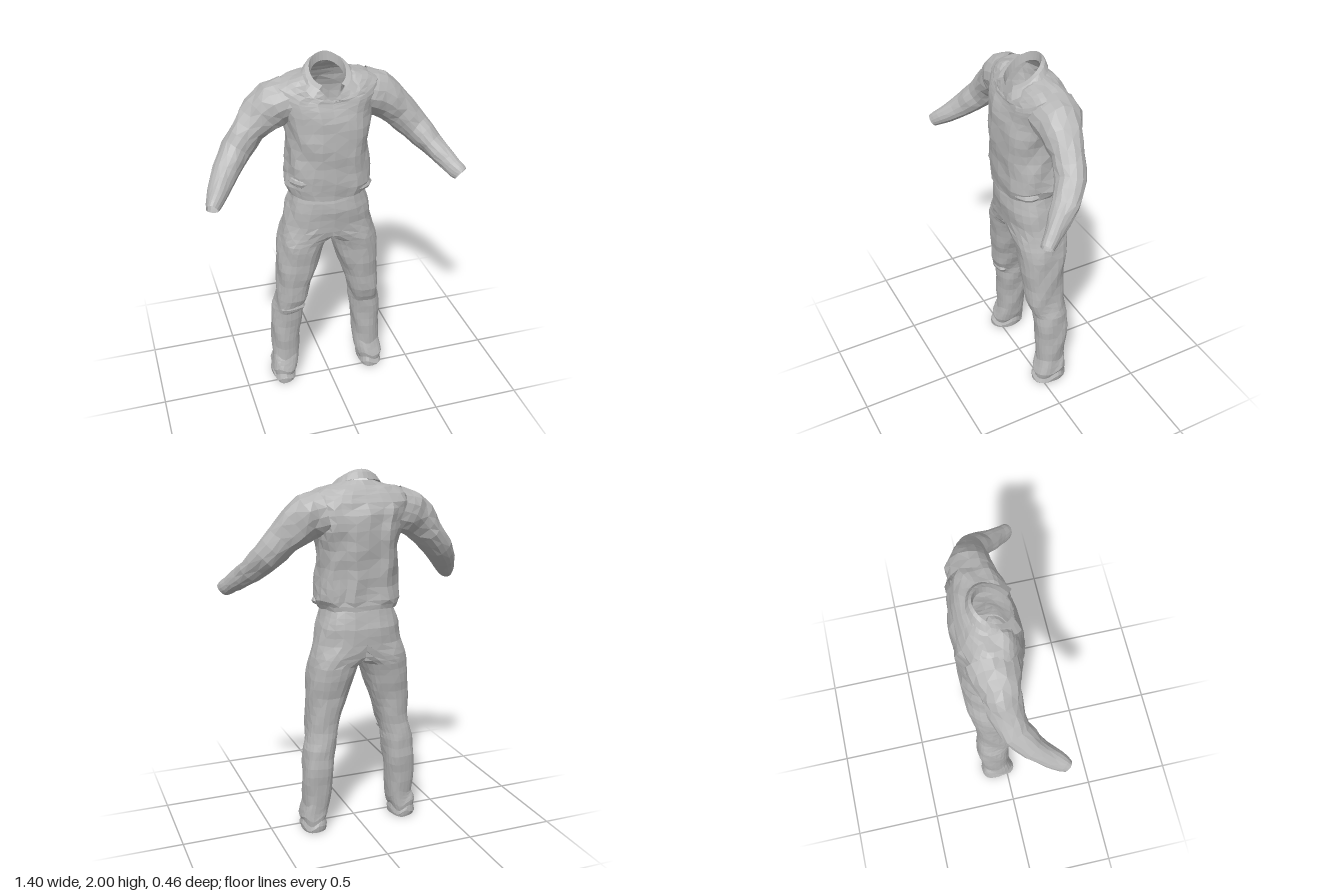
import * as THREE from 'three';

const fabric = new THREE.MeshStandardMaterial({ color: 0xb6b6b6, flatShading: true, side: THREE.DoubleSide });
fabric.name = 'grey fabric';

// Insert evenly blended rows between the given ones
function refine(rows, n) {
  const out = [];
  for (let i = 0; i < rows.length - 1; i++)
    for (let k = 0; k < n; k++) out.push(rows[i].map((v, c) => v + (rows[i + 1][c] - v) * k / n));
  out.push(rows[rows.length - 1]);
  return out;
}

// Skin a list of point rings; closed joins the last point of each ring to the first
function loft(rings, closed = true) {
  const n = rings[0].length, pos = [], idx = [];
  rings.forEach(r => r.forEach(p => pos.push(p.x, p.y, p.z)));
  for (let i = 0; i < rings.length - 1; i++)
    for (let j = 0; j < (closed ? n : n - 1); j++) {
      const a = i * n + j, b = i * n + (j + 1) % n, c = a + n, d = b + n;
      const tris = (i + j) % 2 ? [[a, b, d], [a, d, c]] : [[a, b, c], [b, d, c]];
      // Leave out the hidden wall where two mirrored halves meet
      tris.forEach(t => { if (t.some(k => pos[k * 3] !== 0)) idx.push(...t); });
    }
  const g = new THREE.BufferGeometry();
  g.setAttribute('position', new THREE.Float32BufferAttribute(pos, 3));
  g.setIndex(idx);
  return g;
}

function mirrorX(g) {
  const m = g.clone().scale(-1, 1, 1), ix = m.index.array;
  for (let i = 0; i < ix.length; i += 3) [ix[i], ix[i + 1]] = [ix[i + 1], ix[i]];
  return m;
}

// Cloth creases, with pleats down the back of the shirt and slouching trouser cuffs
function wrinkle(g, amp) {
  const p = g.attributes.position;
  for (let i = 0; i < p.count; i++) {
    const x = p.getX(i), y = p.getY(i), z = p.getZ(i);
    let dz = amp * Math.sin(x * 37 + y * 17) * Math.cos(y * 21 - x * 23);
    let dy = amp * 0.6 * Math.sin(x * 33 + z * 47);
    if (z < -0.12 && y > 1.32 && y < 1.84) dz += 0.008 * Math.sin(x * 42 + y * 2);
    if (y > 0.03 && y < 0.2) dy += 0.014 * Math.sin(x * 48 + z * 38 + y * 30);
    p.setXYZ(i, x + amp * Math.sin(y * 25 + z * 37 + x * 13), y + dy, z + dz);
  }
  g.computeVertexNormals();
  return g;
}

const power = (v, e) => Math.sign(v) * Math.abs(v) ** e;

// Horizontal rounded ring from its side and depth limits; dip lowers its front
function ring(y, x0, x1, zf, zb, dip, n, e) {
  return Array.from({ length: n }, (_, j) => {
    const a = j / n * Math.PI * 2, c = Math.cos(a);
    return new THREE.Vector3(
      (x0 + x1) / 2 + (x1 - x0) / 2 * power(Math.sin(a), e),
      y - dip * Math.max(0, c) ** 2,
      (zf + zb) / 2 + (zf - zb) / 2 * power(c, e));
  });
}

export function createModel() {
  const group = new THREE.Group();
  const add = (name, geometry) => {
    const m = new THREE.Mesh(geometry, fabric);
    m.name = name;
    group.add(m);
  };

  // Shirt body: height, half width, front, back, front dip
  const body = refine([
    [1.285, 0.195, 0.1, -0.185, 0.025], [1.28, 0.212, 0.118, -0.205, 0.02],
    [1.33, 0.234, 0.122, -0.21, 0.01], [1.4, 0.226, 0.124, -0.208, 0],
    [1.5, 0.215, 0.128, -0.212, 0], [1.6, 0.216, 0.13, -0.22, 0],
    [1.7, 0.235, 0.119, -0.229, 0], [1.78, 0.255, 0.105, -0.22, 0.02],
    [1.84, 0.272, 0.096, -0.2, 0.055], [1.88, 0.262, 0.092, -0.18, 0.085],
    [1.908, 0.21, 0.09, -0.158, 0.103], [1.924, 0.14, 0.087, -0.135, 0.113],
  ], 2).map(([y, w, f, b, d]) => ring(y, -w, w, f, b, d, 30, 0.75));
  // Neckline with a notch at the front
  body.push(Array.from({ length: 30 }, (_, j) => {
    const a = j / 30 * Math.PI * 2, c = Math.cos(a), near = Math.min(a, Math.PI * 2 - a);
    const notch = 0.035 * Math.exp(-((near / 0.4) ** 2));
    return new THREE.Vector3(0.1 * Math.sin(a), 1.922 - 0.05 * c - 0.025 * c * c - notch, -0.015 + 0.1 * c);
  }));
  add('shirtBody', wrinkle(loft(body), 0.006));

  // Folded collar: leaf edge, fold, top edge and inner stand, open at the front.
  // The leaf hangs lowest at the back and at its two front points.
  const collarRing = (rx, rz, drop, leaf) => Array.from({ length: 25 }, (_, j) => {
    const t = j / 12 - 1, a = Math.PI + t * 2.6, c = Math.cos(a), tip = leaf * Math.abs(t) ** 5;
    return new THREE.Vector3(rx * Math.sin(a) * (1 + 0.5 * tip),
      1.938 - 0.062 * c - drop - 0.02 * leaf * Math.max(0, -c) - 0.022 * tip,
      -0.02 + rz * c + 0.016 * tip);
  });
  add('collar', wrinkle(loft([
    collarRing(0.136, 0.12, 0.024, 1), collarRing(0.116, 0.106, 0.003, 0.35),
    collarRing(0.096, 0.092, -0.002, 0), collarRing(0.09, 0.085, 0.045, 0),
  ], false), 0.002));

  // Sleeve: centre x, y, z, then radius across and radius front to back
  const sleeveRows = refine([
    [0.2, 1.788, -0.07, 0.118, 0.132], [0.28, 1.766, -0.065, 0.121, 0.12],
    [0.34, 1.723, -0.056, 0.108, 0.102], [0.41, 1.656, -0.046, 0.09, 0.085],
    [0.49, 1.568, -0.018, 0.079, 0.078], [0.56, 1.486, 0.05, 0.067, 0.064],
    [0.62, 1.416, 0.135, 0.053, 0.05], [0.655, 1.38, 0.19, 0.042, 0.04],
    [0.668, 1.364, 0.212, 0.035, 0.034],
  ], 2);
  const centre = sleeveRows.map(r => new THREE.Vector3(r[0], r[1], r[2]));
  const sleeve = loft(sleeveRows.map((r, i) => {
    const d = centre[Math.min(i + 2, centre.length - 1)].clone().sub(centre[Math.max(i - 2, 0)]).normalize();
    const across = new THREE.Vector3(-d.y, d.x, 0).normalize();
    const depth = d.clone().cross(across);
    return Array.from({ length: 16 }, (_, j) => {
      const a = j / 16 * Math.PI * 2;
      return centre[i].clone().addScaledVector(across, r[3] * Math.cos(a)).addScaledVector(depth, r[4] * Math.sin(a));
    });
  }));
  add('leftSleeve', wrinkle(sleeve.clone(), 0.006));
  add('rightSleeve', wrinkle(mirrorX(sleeve), 0.006));

  // Trouser half from cuff to waist: height, inner x, outer x, front, back.
  // Above the crotch the inner side is cut off flat at x = 0, where the halves meet.
  const trouser = loft(refine([
    [0.01, 0.205, 0.335, 0.045, -0.15], [0.035, 0.2, 0.343, 0.048, -0.155],
    [0.06, 0.205, 0.335, 0.034, -0.148], [0.09, 0.192, 0.345, 0.036, -0.152],
    [0.13, 0.182, 0.338, 0.022, -0.149], [0.17, 0.178, 0.327, 0.012, -0.148],
    [0.3, 0.168, 0.33, 0.015, -0.163], [0.4, 0.156, 0.328, 0.018, -0.172],
    [0.5, 0.145, 0.317, 0.025, -0.17], [0.54, 0.143, 0.305, 0.045, -0.165],
    [0.6, 0.128, 0.297, 0.06, -0.16], [0.7, 0.1, 0.292, 0.066, -0.16],
    [0.8, 0.066, 0.291, 0.076, -0.168], [0.9, 0.034, 0.286, 0.083, -0.186],
    [0.97, 0.008, 0.275, 0.089, -0.198], [1.02, -0.08, 0.264, 0.095, -0.204],
    [1.09, -0.246, 0.246, 0.104, -0.21], [1.18, -0.226, 0.226, 0.115, -0.214],
    [1.24, -0.207, 0.207, 0.112, -0.2], [1.3, -0.193, 0.193, 0.1, -0.185],
  ], 2).map(([y, xi, xo, f, b]) => {
    const r = ring(y, xi, xo, f, b, 0, 24, 0.82);
    r.forEach(p => { p.x = p.x < 1e-6 ? 0 : p.x; });
    return r;
  }));
  add('leftTrouserHalf', wrinkle(trouser.clone(), 0.004));
  add('rightTrouserHalf', wrinkle(mirrorX(trouser), 0.004));

  // Loose cloth folds: position, size, turn about y and z
  [
    ['leftHemFold', [0.16, 1.3, 0.045], [0.085, 0.032, 0.048], 0.55, 0.05],
    ['rightWaistFold', [-0.17, 1.365, 0.05], [0.07, 0.035, 0.042], -0.65, 0],
    ['rightKneeFold', [-0.22, 0.54, 0.01], [0.075, 0.036, 0.042], -0.1, 0.08],
  ].forEach(([name, p, s, ry, rz]) => {
    const g = new THREE.SphereGeometry(1, 10, 6).scale(...s).rotateZ(rz).rotateY(ry).translate(...p);
    add(name, wrinkle(g, 0.004));
  });

  return group;
}
